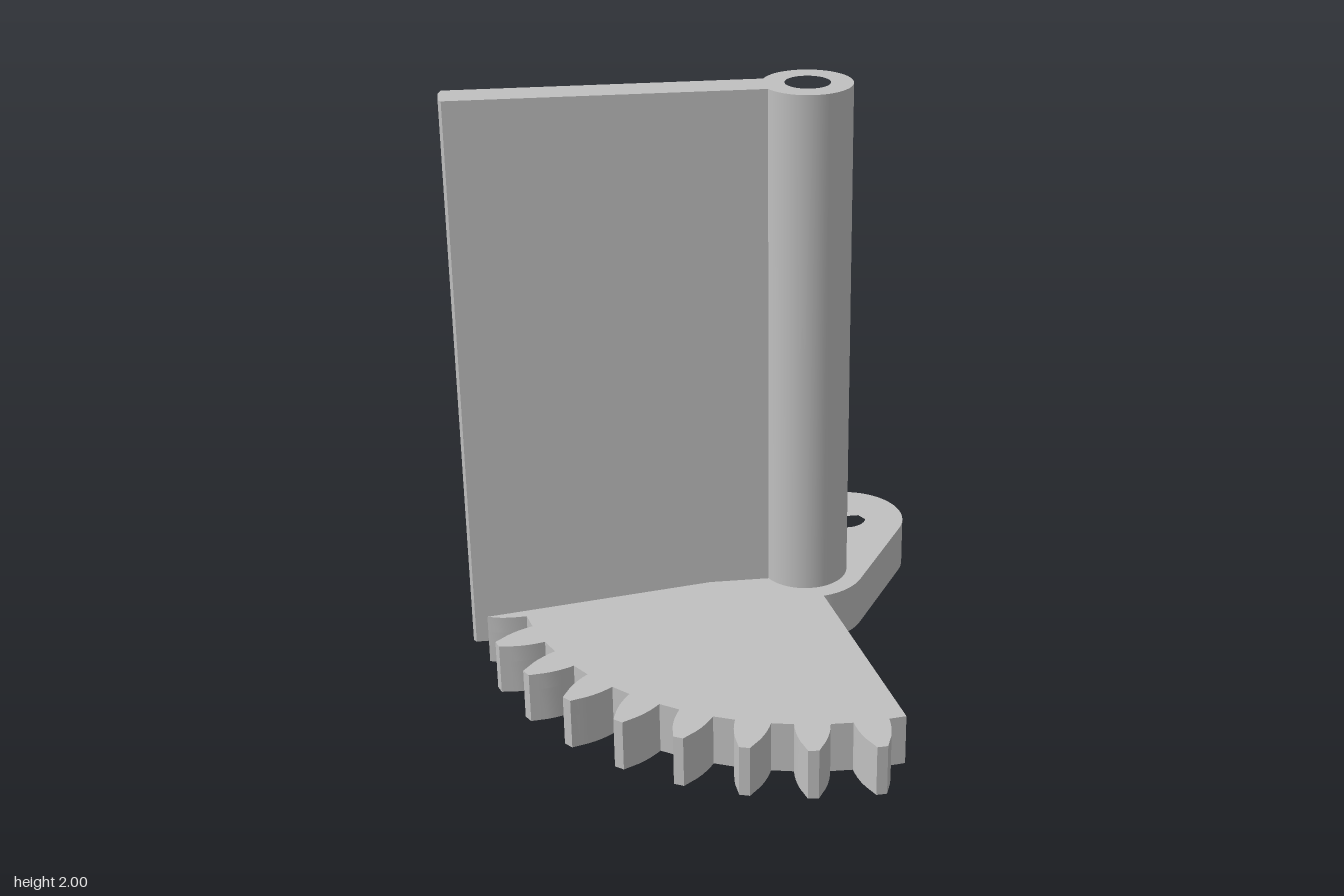
import * as THREE from 'three';
import { toCreasedNormals } from 'three/addons/utils/BufferGeometryUtils.js';

const PIVOT = [-0.21, -0.305];
const ARM_END = [-0.42, -0.67];
const BASE_H = 0.18, TRAP_H = 0.12, HEIGHT = 2;
const HOLE_R = 0.077, HUB_R = 0.153, ARM_R = 0.218;

// Plan point (x, z) at a radius and an angle in degrees from +z towards +x
const polar = (c, r, deg) => {
  const a = THREE.MathUtils.degToRad(deg);
  return new THREE.Vector2(c[0] + r * Math.sin(a), c[1] + r * Math.cos(a));
};

const arc = (c, r, from, to, n) =>
  Array.from({ length: n + 1 }, (_, i) => polar(c, r, from + ((to - from) * i) / n));

const round = (c, r, n = 48) => arc(c, r, 0, 360, n).slice(0, n);

// Extrudes a plan outline between two heights
function slab(outline, holes, y0, y1) {
  const shape = new THREE.Shape(outline);
  shape.holes = holes.map((h) => new THREE.Path(h));
  const geo = new THREE.ExtrudeGeometry(shape, { depth: y1 - y0, bevelEnabled: false });
  geo.rotateX(Math.PI / 2);
  geo.translate(0, y1, 0);
  return toCreasedNormals(geo, 0.4);
}

// Toothed rim of the sector, from -20 to 70 degrees
function rim() {
  const pitch = 360 / 34;
  const flank = [[1.037, 3.25], [1.06, 3.1], [1.085, 2.85], [1.11, 2.5], [1.135, 2.05], [1.16, 1.45], [1.187, 0.85]];
  // first tooth is cut off by the straight edge
  const pts = [polar(PIVOT, 1.168, -20)];
  flank.slice(0, 5).reverse().forEach(([r, h]) => pts.push(polar(PIVOT, r, -2 * pitch + h)));
  for (let k = -1; k <= 6; k++) {
    flank.forEach(([r, h]) => pts.push(polar(PIVOT, r, k * pitch - h)));
    [...flank].reverse().forEach(([r, h]) => pts.push(polar(PIVOT, r, k * pitch + h)));
  }
  pts.push(polar(PIVOT, 1.038, 70));
  return pts;
}

export function createModel() {
  const model = new THREE.Group();
  const grey = new THREE.MeshStandardMaterial({ color: 0xc0c0c0 });
  grey.name = 'light grey';
  const add = (name, geo, parent) => {
    const mesh = new THREE.Mesh(geo, grey);
    mesh.name = name;
    parent.add(mesh);
  };

  // Gear sector with rounded lever arm
  const outline = [
    ...rim(),
    ...arc(PIVOT, ARM_R, 70, 120, 14),
    ...arc(ARM_END, ARM_R, 120, 300, 40),
    ...arc(PIVOT, ARM_R, 300, 340, 12),
  ];
  const base = new THREE.Group();
  base.name = 'gearSectorAndArm';
  model.add(base);
  const pivotHole = round(PIVOT, HOLE_R);
  // lower layer has the hexagonal nut pocket, upper layer the bolt hole
  const hex = arc(ARM_END, 0.148, 30, 330, 5).map((_, i) => polar(ARM_END, 0.148, 90 + 60 * i));
  add('baseWithNutPocket', slab(outline, [pivotHole, hex], 0, TRAP_H), base);
  add('baseWithBoltHole', slab(outline, [pivotHole, round(ARM_END, HOLE_R)], TRAP_H, BASE_H), base);

  // Tall hub tube with a flat vane
  const vaneAngle = -30, halfW = 0.062;
  const root = THREE.MathUtils.radToDeg(Math.asin(halfW / HUB_R));
  const vaneEnd = [[1.196, -halfW], [1.206, -0.031], [1.206, 0.05], [1.196, halfW]].map(([l, w]) =>
    polar(PIVOT, Math.hypot(l, w), vaneAngle + THREE.MathUtils.radToDeg(Math.atan2(w, l))));
  const post = [...arc(PIVOT, HUB_R, vaneAngle + root, vaneAngle + 360 - root, 44), ...vaneEnd];
  add('hubAndVane', slab(post, [pivotHole], 0, HEIGHT), model);

  return model;
}
